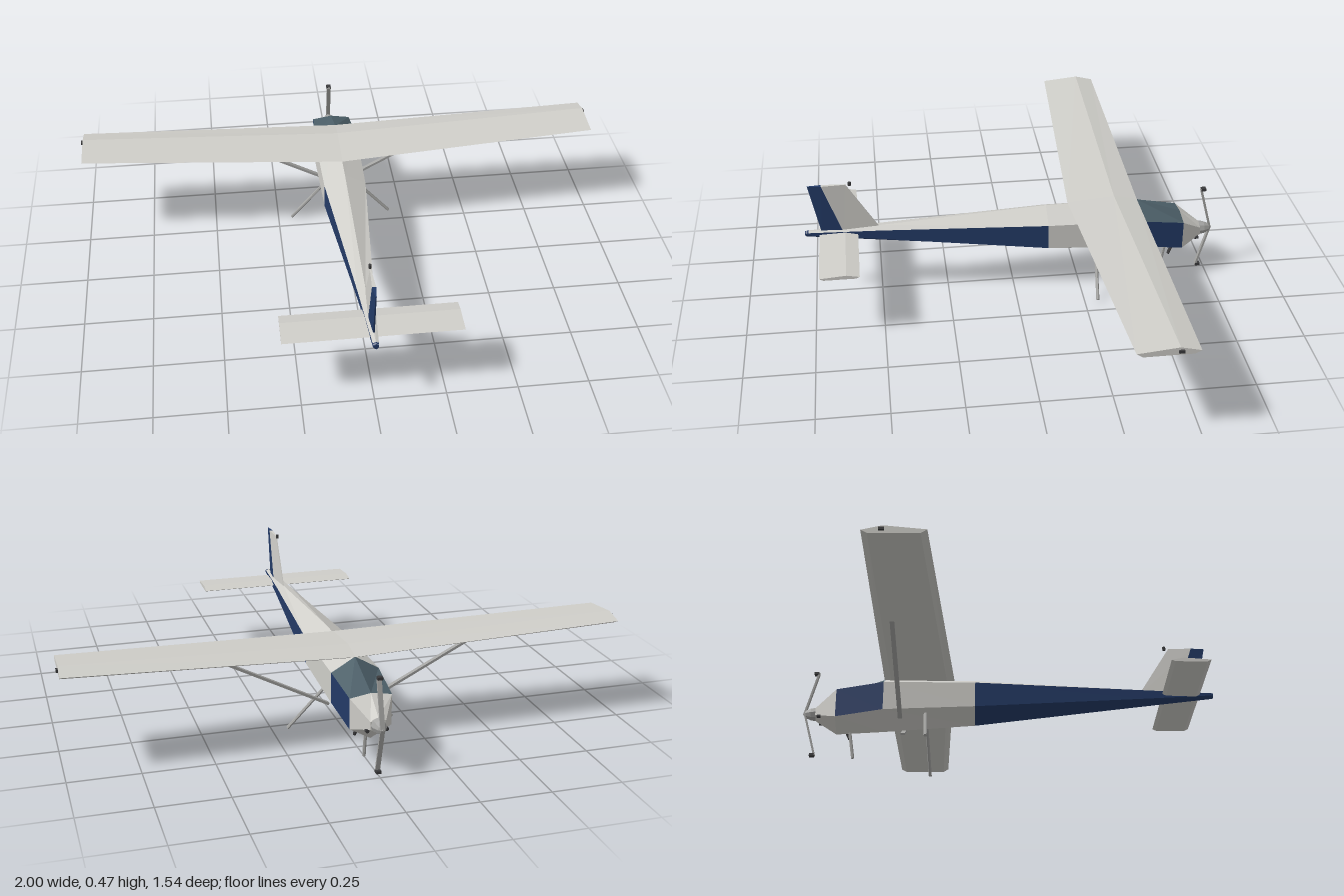
import * as THREE from 'three';

const mat = (name, color) => {
  const m = new THREE.MeshStandardMaterial({ color, flatShading: true });
  m.name = name;
  return m;
};

// Skins rings of [x, y, z] points; edges picks which ring sides to cover, caps closes the ends.
function loft(name, rings, material, { edges, caps = true } = {}) {
  const n = rings[0].length;
  const pos = [];
  const tri = (a, b, c) => pos.push(...a, ...b, ...c);
  const sides = edges || rings[0].map((_, i) => i);
  for (let r = 0; r < rings.length - 1; r++) {
    const a = rings[r], b = rings[r + 1];
    for (const i of sides) {
      const j = (i + 1) % n;
      tri(a[i], a[j], b[j]);
      tri(a[i], b[j], b[i]);
    }
  }
  if (caps) {
    const first = rings[0], last = rings[rings.length - 1];
    for (let i = 1; i < n - 1; i++) {
      tri(first[0], first[i + 1], first[i]);
      tri(last[0], last[i], last[i + 1]);
    }
  }
  const g = new THREE.BufferGeometry();
  g.setAttribute('position', new THREE.Float32BufferAttribute(pos, 3));
  g.computeVertexNormals();
  const mesh = new THREE.Mesh(g, material);
  mesh.name = name;
  return mesh;
}

// Stretches a unit-height geometry between two points.
function between(name, a, b, geometry, material) {
  const p = new THREE.Vector3(...a), q = new THREE.Vector3(...b);
  const d = q.clone().sub(p);
  const mesh = new THREE.Mesh(geometry, material);
  mesh.name = name;
  mesh.scale.y = d.length();
  mesh.quaternion.setFromUnitVectors(new THREE.Vector3(0, 1, 0), d.normalize());
  mesh.position.copy(p).add(q).multiplyScalar(0.5);
  return mesh;
}

// Six-sided fuselage section: ridge, upper sides, lower sides, keel.
const hex = ([z, top, up, low, bottom, w]) => [
  [0, top, z], [-w, up, z], [-w, low, z], [0, bottom, z], [w, low, z], [w, up, z],
];

// Wing section: nose, crest, trailing edge, flat underside.
const airfoil = (x, y, lead, trail, t) => {
  const c = trail - lead;
  return [[0, 0.4], [0.33, 1], [1, 0.5], [0.9, 0], [0.1, 0]]
    .map(([u, v]) => [x, y + v * t, lead + u * c]);
};

// Vertical tail section, thinner or thicker towards either edge.
const finSection = (y, lead, trail, tLead, tTrail) => [
  [tTrail, y, trail], [tLead, y, lead], [-tLead, y, lead], [-tTrail, y, trail],
];

export function createModel() {
  const model = new THREE.Group();
  model.name = 'lightAircraft';
  const paint = mat('light grey paint', 0xcfcec9);
  const navy = mat('navy paint', 0x233a66);
  const glass = mat('tinted glass', 0x4c5f68);
  const metal = mat('grey metal', 0xa4a4a2);
  const dark = mat('dark trim', 0x3a3a3c);

  // Fuselage, from nose to tail
  const s = [
    [-0.72, 0.206, 0.194, 0.166, 0.152, 0.027],
    [-0.64, 0.262, 0.25, 0.14, 0.099, 0.074],
    [-0.465, 0.326, 0.276, 0.165, 0.11, 0.085],
    [-0.125, 0.322, 0.278, 0.181, 0.137, 0.079],
    [0.5, 0.281, 0.274, 0.238, 0.218, 0.028],
    [0.768, 0.275, 0.271, 0.262, 0.252, 0.01],
  ].map(hex);
  const TOP = [0, 5], SIDE = [1, 4], BOTTOM = [2, 3];
  const skin = (name, from, to, edges, m) =>
    model.add(loft(name, s.slice(from, to + 1), m, { edges, caps: false }));
  model.add(loft('cowling', [s[0], s[1]], paint));
  skin('windshield', 1, 2, TOP, glass);
  skin('frontSidePanels', 1, 2, SIDE, navy);
  skin('frontBelly', 1, 2, BOTTOM, paint);
  skin('cabin', 2, 3, [...TOP, ...SIDE, ...BOTTOM], paint);
  skin('tailSpine', 3, 5, TOP, paint);
  skin('tailBoom', 3, 5, [...SIDE, ...BOTTOM], navy);
  const end = loft('tailCone', [hex([0.76, 0.276, 0.272, 0.261, 0.251, 0.011]),
    hex([0.772, 0.274, 0.27, 0.262, 0.254, 0.009])], navy);
  model.add(end);

  // Wing with slight dihedral and tapered trailing edge
  model.add(loft('wing', [
    airfoil(-0.993, 0.348, -0.47, -0.262, 0.028),
    airfoil(0, 0.314, -0.47, -0.206, 0.03),
    airfoil(0.993, 0.348, -0.47, -0.262, 0.028),
  ], paint));

  // Tailplane
  model.add(loft('tailplane', [-0.308, 0.308].map(x => airfoil(x, 0.255, 0.578, 0.72, 0.015)), paint));

  // Fin and rudder
  model.add(loft('fin', [
    finSection(0.262, 0.49, 0.63, 0.002, 0.009),
    finSection(0.462, 0.613, 0.7, 0.002, 0.007),
  ], paint));
  model.add(loft('rudder', [
    finSection(0.262, 0.63, 0.71, 0.009, 0.003),
    finSection(0.462, 0.7, 0.75, 0.007, 0.002),
  ], navy));
  const beacon = new THREE.Mesh(new THREE.CylinderGeometry(0.006, 0.006, 0.014, 6), dark);
  beacon.name = 'beacon';
  beacon.position.set(0, 0.464, 0.597);
  model.add(beacon);

  // Spinner
  const spinner = new THREE.Mesh(new THREE.LatheGeometry(
    [[0.027, 0], [0.024, 0.02], [0.015, 0.04], [0, 0.052]].map(p => new THREE.Vector2(...p)), 8), metal);
  spinner.name = 'spinner';
  spinner.rotation.x = -Math.PI / 2;
  spinner.position.set(0, 0.18, -0.718);
  model.add(spinner);

  // Two-bladed propeller, swept back towards the tips
  const blade = new THREE.BoxGeometry(0.016, 1, 0.007);
  const tip = new THREE.BoxGeometry(0.018, 0.01, 0.018);
  for (const k of [-1, 1]) {
    model.add(between('propellerBlade', [0, 0.182, -0.763], [0, 0.182 + k * 0.168, -0.718], blade, metal));
    const t = new THREE.Mesh(tip, dark);
    t.name = 'propellerTip';
    t.position.set(0, 0.182 + k * 0.167, -0.727);
    model.add(t);
  }

  // Mirrored struts, main gear legs, tip lights and intakes
  const strut = new THREE.BoxGeometry(0.009, 1, 0.016);
  const leg = new THREE.CylinderGeometry(0.006, 0.006, 1, 6);
  for (const k of [-1, 1]) {
    model.add(between('wingStrut', [k * 0.075, 0.135, -0.4], [k * 0.455, 0.335, -0.41], strut, metal));
    model.add(between('mainGearLeg', [k * 0.065, 0.155, -0.308], [k * 0.197, 0.012, -0.298], leg, metal));
    const light = new THREE.Mesh(new THREE.BoxGeometry(0.012, 0.01, 0.018), dark);
    light.name = 'wingTipLight';
    light.position.set(k * 0.994, 0.362, -0.405);
    const intake = new THREE.Mesh(new THREE.CylinderGeometry(0.007, 0.007, 0.014, 8), dark);
    intake.name = 'airIntake';
    intake.rotation.x = Math.PI / 2;
    intake.position.set(k * 0.034, 0.158, -0.705);
    model.add(light, intake);
  }
  model.add(between('noseGearLeg', [0, 0.115, -0.592], [0, 0.004, -0.575], leg, metal));

  // Exhaust stub under the cowling
  model.add(between('exhaustPipe', [0.036, 0.13, -0.61], [0.042, 0.098, -0.595], leg, dark));

  return model;
}
